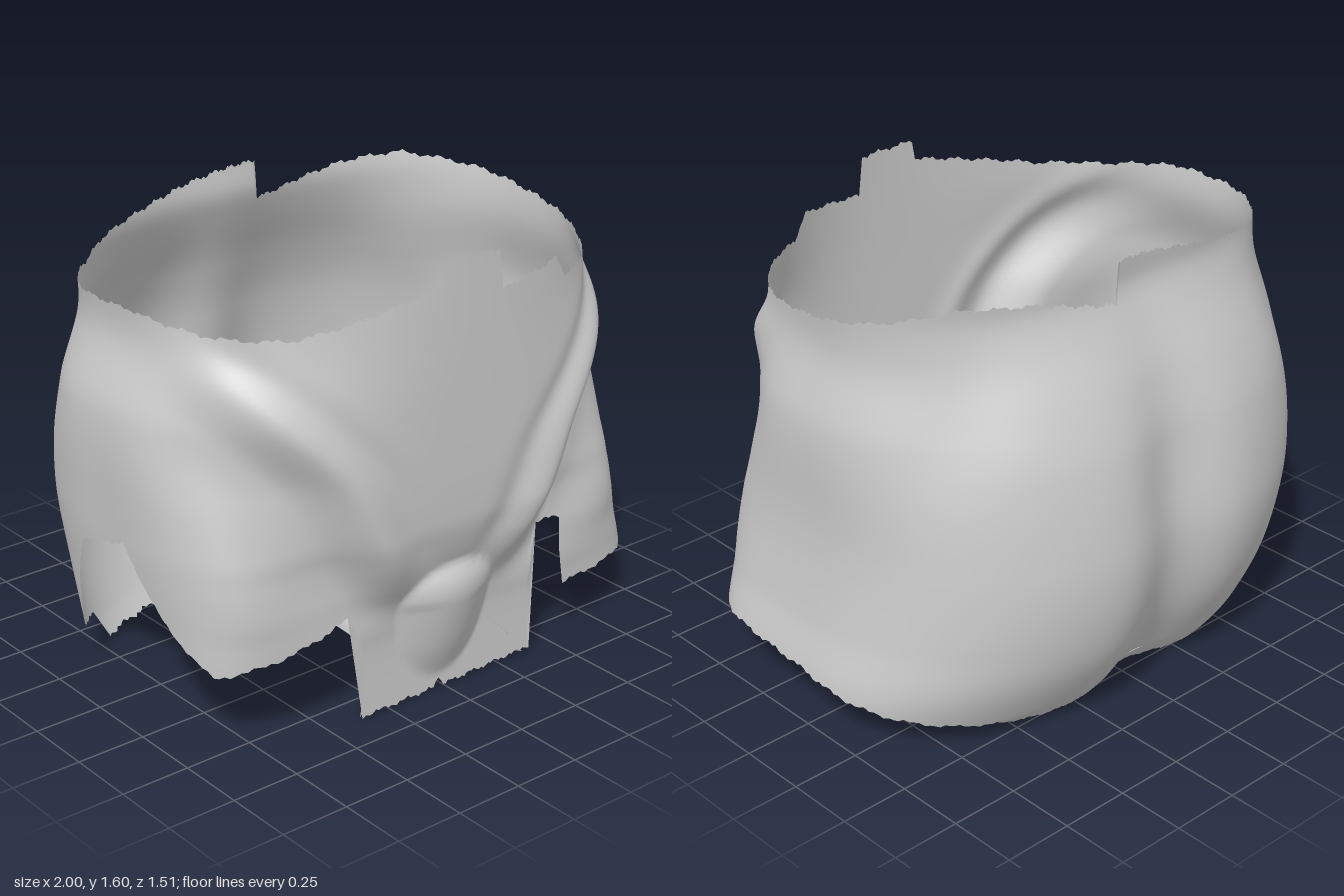
import * as THREE from 'three';

// Piecewise-linear and smooth lookups in [[key, value], ...]
function lookup(table, k, smooth = false) {
  if (k <= table[0][0]) return table[0][1];
  for (let i = 1; i < table.length; i++) {
    const [k0, v0] = table[i - 1], [k1, v1] = table[i];
    if (k > k1) continue;
    const t = (k - k0) / (k1 - k0);
    if (!smooth) return v0 + (v1 - v0) * t;
    const slope = (a, b) => (table[b][1] - table[a][1]) / (table[b][0] - table[a][0]);
    const m0 = slope(Math.max(i - 2, 0), i) * (k1 - k0);
    const m1 = slope(i - 1, Math.min(i + 1, table.length - 1)) * (k1 - k0);
    const t2 = t * t, t3 = t2 * t;
    return (2 * t3 - 3 * t2 + 1) * v0 + (t3 - 2 * t2 + t) * m0 + (3 * t2 - 2 * t3) * v1 + (t3 - t2) * m1;
  }
  return table[table.length - 1][1];
}
const bump = (d, w) => Math.exp(-(d * d) / (w * w));
const step = THREE.MathUtils.smoothstep;

// Body outline by height
const RIGHT = [[0, 0.93], [0.2, 0.935], [0.4, 0.95], [0.7, 0.985], [1.1, 1.0], [1.36, 0.93], [1.6, 0.96]];
const LEFT = [[0, 1.0], [0.2, 1.0], [0.4, 0.955], [0.7, 0.92], [1.1, 0.92], [1.36, 0.86], [1.6, 0.88]];
const FRONT = [[0, 0.62], [0.2, 0.62], [0.3, 0.625], [0.4, 0.645], [0.5, 0.685], [0.6, 0.72], [0.7, 0.74], [1.1, 0.745], [1.6, 0.74]];
const BACK = [[0, 0.53], [0.1, 0.61], [0.3, 0.72], [0.5, 0.775], [0.7, 0.785], [1, 0.735], [1.2, 0.66], [1.4, 0.56], [1.5, 0.525], [1.6, 0.53]];
const SQUARENESS = [[0, 6], [0.3, 6], [0.7, 4], [1.1, 2.9], [1.6, 2.2]];
// Half width of the V-shaped hip line by height
const HIP_LINE = [[0.1, 0.15], [0.35, 0.17], [0.5, 0.25], [0.7, 0.35], [0.97, 0.5], [1.37, 0.9], [1.6, 1.15]];

// Torn rims: angle from the front (towards +x) and height
const TOP_RIM = [[-180, 1.6], [-160, 1.57], [-124, 1.49], [-115, 1.45], [-80, 1.46], [-60, 1.42], [-45, 1.42],
  [-28, 1.47], [-9, 1.53], [-8, 1.6], [10, 1.6], [11, 1.46], [32, 1.49], [36, 1.41], [55, 1.41], [90, 1.48],
  [120, 1.56], [135, 1.54], [160, 1.47], [167, 1.46], [168, 1.6], [180, 1.6]];
const BOTTOM_RIM = [[-180, 0.02], [-118, 0.02], [-117, 0.12], [-106, 0.16], [-102, 0.42], [-96, 0.6], [-81, 0.67],
  [-71, 0.45], [-61, 0.3], [-45, 0.36], [-34, 0.41], [-33, 0.02], [-8, 0.02], [-6, 0.06], [-4, 0.02], [30, 0.03],
  [31, 0.51], [38, 0.5], [40, 0.23], [62, 0.25], [90, 0.22], [122, 0.11], [145, 0.04], [180, 0.02]];

function skinPoint(deg, y) {
  const a = THREE.MathUtils.degToRad(deg), s = Math.sin(a), c = Math.cos(a);
  const l = lookup(LEFT, y, true), r = lookup(RIGHT, y, true);
  const halfX = (l + r) / 2, front = c > 0;
  const halfZ = lookup(front ? FRONT : BACK, y, true);
  const n = front ? lookup(SQUARENESS, y, true) : 2.25;
  const radius = (Math.abs(s / halfX) ** n + Math.abs(c / halfZ) ** n) ** (-1 / n);
  let x = radius * s + (l - r) / 2, z = radius * c;
  const mx = Math.abs(x + 0.03);
  if (front) {
    // hip ridge, thigh hollow and rounded centre
    const d = (mx - lookup(HIP_LINE, y, true)) * 0.75;
    const fade = step(z, 0.1, 0.5);
    const ridge = 0.018 * bump(d, 0.065) * step(y, 0.35, 0.6);
    const crease = 0.012 * bump(d + 0.11, 0.05) * step(y, 0.45, 0.65);
    const hollow = 0.1 * step(d, 0, 0.15) * (1 - 0.6 * step(d, 0.18, 0.45))
      * step(y, 0.3, 0.65) * (1 - 0.6 * step(y, 0.9, 1.3));
    const dy = y - 0.38;
    const q = Math.max(0, 1 - (mx / 0.21) ** 2 - (dy / (dy > 0 ? 0.14 : 0.31)) ** 2);
    z += (ridge - crease - hollow + 0.085 * q ** (dy > 0 ? 1 : 1.2)) * fade;
  } else {
    // central cleft and hip dimples
    z += 0.085 * bump(mx, 0.18) * (1 - 0.8 * step(y, 0.8, 1.45)) * step(-z, 0.2, 0.4);
    const dimple = 0.04 * bump(Math.abs(deg) - 118, 14) * bump(y - 1.15, 0.25);
    x -= s * dimple;
    z -= c * dimple;
  }
  return [x, y, z];
}

// Indexed grid surface from a point rule; collapsed cells are left out
function gridMesh(name, cols, rows, closed, point) {
  const pts = [], idx = [], count = closed ? cols : cols + 1;
  for (let j = 0; j <= rows; j++) for (let i = 0; i < count; i++) pts.push(point(i / cols, j / rows, i));
  for (let j = 0; j < rows; j++) for (let i = 0; i < cols; i++) {
    const a = j * count + i, b = j * count + (i + 1) % count, c = b + count, d = a + count;
    const same = (p, q) => pts[p].every((v, k) => v === pts[q][k]);
    if (!same(b, c)) idx.push(a, b, c);
    if (!same(a, d)) idx.push(a, c, d);
  }
  const geo = new THREE.BufferGeometry();
  geo.setAttribute('position', new THREE.Float32BufferAttribute(pts.flat(), 3));
  geo.setIndex(idx);
  geo.computeVertexNormals();
  const mesh = new THREE.Mesh(geo, new THREE.MeshStandardMaterial({ color: 0xcccccc, side: THREE.DoubleSide }));
  mesh.name = name;
  return mesh;
}

export function createModel() {
  const group = new THREE.Group();
  group.name = 'pelvisShell';

  // Small ragged offsets along the rims
  const ragged = i => 0.005 * Math.sin(i * 2.3) + 0.005 * Math.sin(i * 0.71);

  // Main open shell, level rows cut off at the torn rims
  group.add(gridMesh('torsoShell', 360, 90, true, (u, v, i) => {
    const deg = u * 360 - 180;
    const bottom = Math.max(0, lookup(BOTTOM_RIM, deg) + ragged(i));
    const top = lookup(TOP_RIM, deg) + ragged(i + 57);
    return skinPoint(deg, THREE.MathUtils.clamp(v * 1.62, bottom, top));
  }));

  // Narrow saddle joining front to back between the leg openings
  const HALF_WIDTH = [[-0.52, 0.3], [-0.48, 0.23], [-0.4, 0.13], [-0.3, 0.065], [-0.2, 0.025], [0, 0.015],
    [0.2, 0.03], [0.3, 0.07], [0.4, 0.15], [0.5, 0.25], [0.6, 0.35], [0.62, 0.37]];
  const CREST = [[-0.52, 0.09], [-0.43, 0.11], [-0.2, 0.06], [0, 0.06], [0.25, 0.07], [0.4, 0.1], [0.5, 0.15], [0.56, 0.23], [0.62, 0.29]];
  group.add(gridMesh('crotchBridge', 16, 60, false, (u, v) => {
    const z = -0.52 + 1.14 * v, s = u * 2 - 1, edge = 0.02;
    const y = edge + (lookup(CREST, z, true) - edge) * (1 - s * s);
    return [s * lookup(HALF_WIDTH, z, true) - 0.01, y, z];
  }));
  return group;
}
